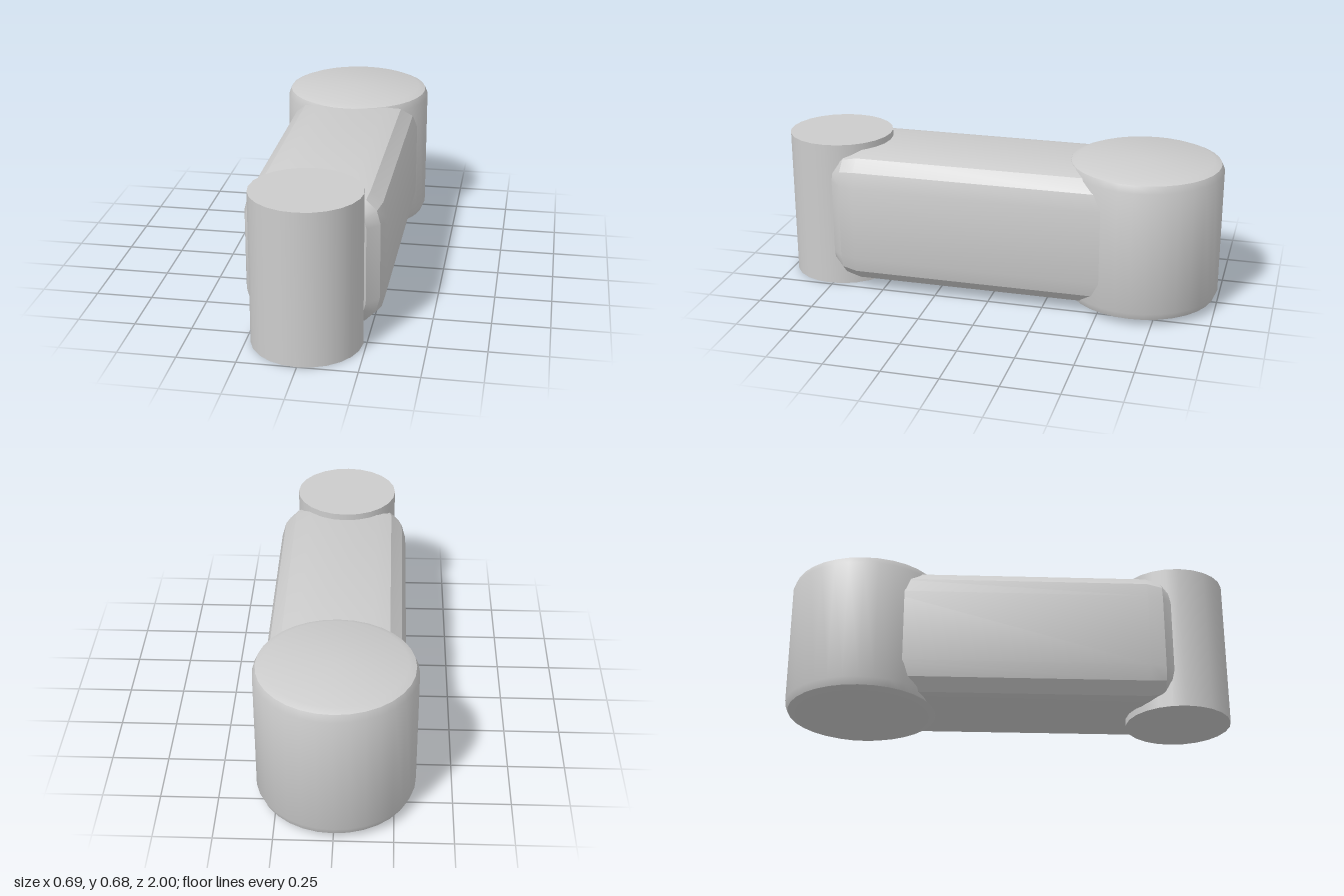
import * as THREE from 'three';
import { toCreasedNormals } from 'three/addons/utils/BufferGeometryUtils.js';

const CREASE = THREE.MathUtils.degToRad(28);

// Box with three-step rounded edges, made of rings along z
function roundedBar(w, h, d, r) {
  const positions = [], index = [];
  const hx = w / 2 - r, hy = h / 2 - r, hz = d / 2 - r;
  const step = Math.PI / 6, ring = 16, rings = 8;
  for (let i = 0; i < rings; i++) {
    const back = i < 4;
    const phi = (back ? i : i - 1) * step;
    for (let q = 0; q < 4; q++) {
      const sx = q === 0 || q === 3 ? 1 : -1;
      const sy = q < 2 ? 1 : -1;
      for (let k = 0; k < 4; k++) {
        const a = (q * 3 + k) * step;
        positions.push(
          sx * hx + r * Math.sin(phi) * Math.cos(a),
          sy * hy + r * Math.sin(phi) * Math.sin(a),
          (back ? -hz : hz) - r * Math.cos(phi));
      }
    }
  }
  for (let i = 0; i < rings - 1; i++) {
    for (let j = 0; j < ring; j++) {
      const a = i * ring + j, b = i * ring + (j + 1) % ring;
      const c = a + ring, e = b + ring;
      const joint = j % 4 === 3; // flat side between two corners
      if (i > 0 || joint) index.push(a, b, e);
      if (i < rings - 2 || joint) index.push(a, e, c);
      else index.push(a, b, c);
    }
  }
  // end caps, one corner from each quadrant
  const last = (rings - 1) * ring;
  index.push(0, 8, 4, 0, 12, 8);
  index.push(last, last + 4, last + 8, last, last + 8, last + 12);
  const geometry = new THREE.BufferGeometry();
  geometry.setAttribute('position', new THREE.Float32BufferAttribute(positions, 3));
  geometry.setIndex(index);
  return toCreasedNormals(geometry, CREASE);
}

// Upright drum with two-step rounded rims
function roundedDrum(radius, y0, y1, bevel, sides) {
  const pts = [new THREE.Vector2(0, y0)];
  for (let i = 0; i <= 2; i++) {
    const a = i * Math.PI / 4;
    pts.push(new THREE.Vector2(radius - bevel * (1 - Math.sin(a)), y0 + bevel * (1 - Math.cos(a))));
  }
  for (let i = 2; i >= 0; i--) {
    const a = i * Math.PI / 4;
    pts.push(new THREE.Vector2(radius - bevel * (1 - Math.sin(a)), y1 - bevel * (1 - Math.cos(a))));
  }
  pts.push(new THREE.Vector2(0, y1));
  return toCreasedNormals(new THREE.LatheGeometry(pts, sides), CREASE);
}

export function createModel() {
  const group = new THREE.Group();
  const grey = new THREE.MeshStandardMaterial({ color: 0xcccccc });
  grey.name = 'lightGrey';

  const add = (name, geometry, x, y, z) => {
    const mesh = new THREE.Mesh(geometry, grey);
    mesh.name = name;
    mesh.position.set(x, y, z);
    group.add(mesh);
  };

  // Plain pin at the front, arm, and wide hub at the back
  add('frontPin', new THREE.CylinderGeometry(0.236, 0.236, 0.675, 24), 0, 0.3375, 0.764);
  add('arm', roundedBar(0.6, 0.615, 1.47, 0.14), 0.01, 0.3375, 0.015);
  add('rearHub', roundedDrum(0.343, 0.018, 0.66, 0.044, 32), 0, 0, -0.657);
  return group;
}
